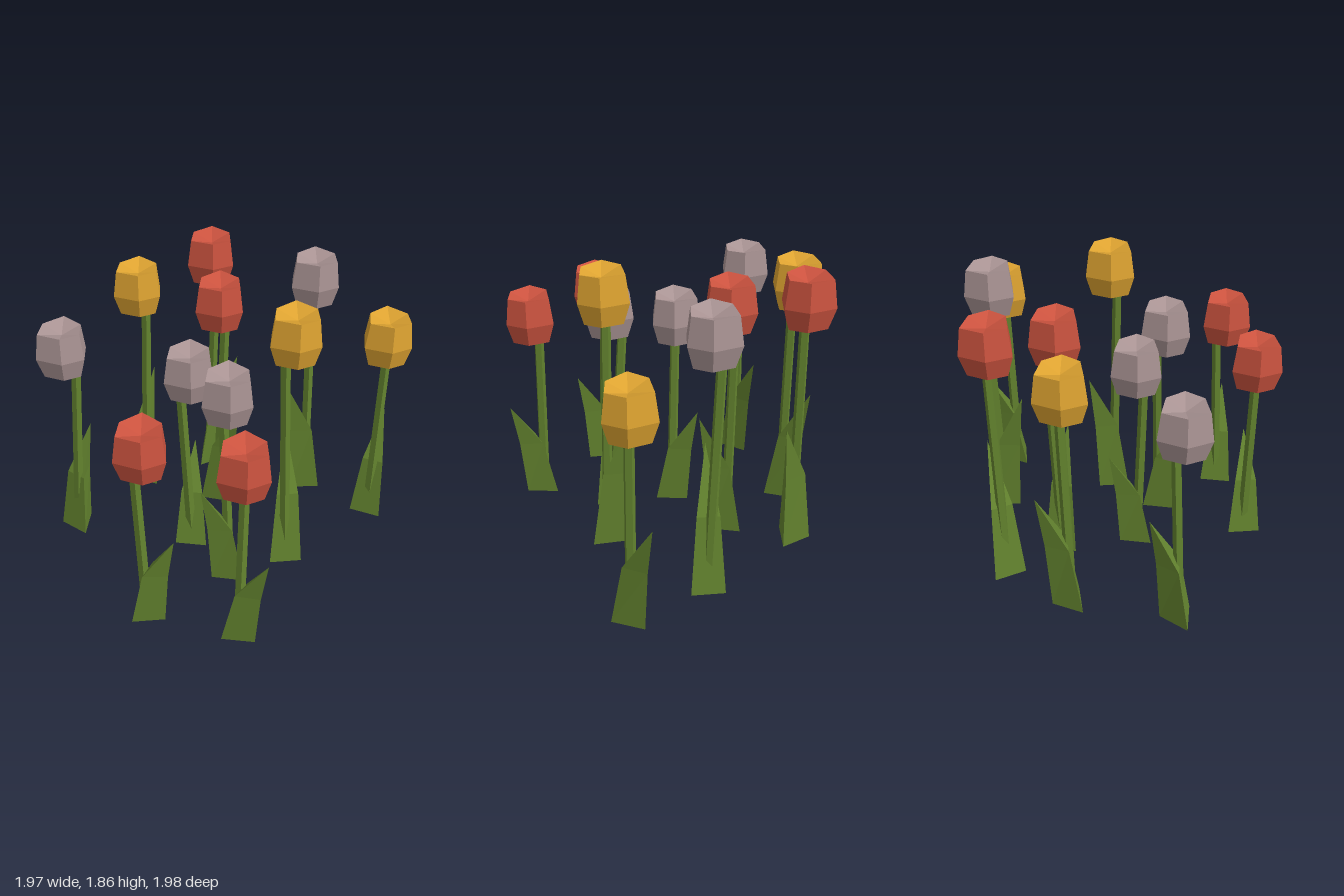
import * as THREE from 'three';

const mat = (name, color) => {
  const m = new THREE.MeshStandardMaterial({ color, flatShading: true });
  m.name = name;
  return m;
};

// Skin a stack of equal-length rings (counter-clockwise from above, bottom to top)
function loft(rings) {
  const pos = [];
  for (let i = 0; i < rings.length - 1; i++) {
    const lo = rings[i], hi = rings[i + 1], n = lo.length;
    for (let j = 0; j < n; j++) {
      const k = (j + 1) % n;
      for (const t of [[lo[j], lo[k], hi[k]], [lo[j], hi[k], hi[j]]]) {
        const same = (a, b) => a.every((v, q) => v === b[q]);
        if (same(t[0], t[1]) || same(t[1], t[2]) || same(t[0], t[2])) continue;
        pos.push(...t.flat());
      }
    }
  }
  const g = new THREE.BufferGeometry();
  g.setAttribute('position', new THREE.Float32BufferAttribute(pos, 3));
  g.computeVertexNormals();
  return g;
}

// Six-sided bloom outline as [x, z], and its [scale, height below the rim]
const OUTLINE = [[0.16, 0], [0.08, -0.122], [-0.093, -0.153], [-0.158, 0.01], [-0.093, 0.153], [0.08, 0.122]];
const PROFILE = [[0, -0.345], [0.76, -0.305], [1, -0.17], [0.86, 0], [0, -0.045]];
const bloomGeometry = () =>
  loft(PROFILE.map(([s, y]) => OUTLINE.map(([x, z]) => [x * s, y, z * s])));

// Five-sided stem leaning from base to top
function stemGeometry(base, top) {
  const ring = ([x, y, z], r) => Array.from({ length: 5 }, (_, i) => {
    const a = i / 5 * Math.PI * 2 + 0.3;
    return [x + r * Math.cos(a), y, z - r * Math.sin(a)];
  });
  return loft([ring(base, 0), ring(base, 0.034), ring(top, 0.031), ring(top, 0)]);
}

// Three-sided leaf: broad at the ground, knee halfway, leaning to a point along d
function leafGeometry([dx, dz], h) {
  const p = (u, v, y) => [dx * u + dz * v, y, dz * u - dx * v];
  const tri = (keel, back, half, y) => [p(keel, 0, y), p(back, half, y), p(back, -half, y)];
  return loft([
    tri(0, 0, 0, 0),
    tri(0.105, -0.075, 0.105, 0),
    tri(0.135, -0.005, 0.07, h * 0.57),
    tri(0.18, 0.18, 0, h),
  ]);
}

export function createModel() {
  const green = mat('leaf green', 0x64842f);
  const colours = {
    red: mat('tulip red', 0xcc533f),
    yellow: mat('tulip yellow', 0xdfa431),
    mauve: mat('tulip mauve', 0xaa9494),
  };

  // colour, x, z, rim height, leaf direction [x, z], stem top offset [x, z]
  const tulips = [
    ['red', -0.42, -0.73, 1.83, [0.155, -0.08], [0.02, -0.02]],
    ['mauve', 0.3, -0.81, 1.83, [-0.09, 0.17], [-0.04, -0.04]],
    ['yellow', 0.825, -0.81, 1.55, [-0.025, -0.18], [0, 0]],
    ['yellow', -0.715, -0.3, 1.72, [-0.03, -0.18], [0.035, -0.02]],
    ['red', -0.145, -0.375, 1.735, [0.17, 0.04], [0, -0.06]],
    ['yellow', 0.535, -0.075, 1.86, [-0.115, -0.155], [-0.045, 0.045]],
    ['mauve', -0.08, 0.1, 1.5, [-0.075, -0.175], [-0.04, 0.05]],
    ['mauve', 0.295, 0.28, 1.57, [-0.115, 0.15], [-0.07, -0.05]],
    ['mauve', -0.83, 0.37, 1.57, [0.015, -0.18], [0.055, -0.04]],
    ['red', 0.635, 0.69, 1.46, [0.175, 0.02], [-0.03, -0.055]],
    ['red', 0.065, 0.84, 1.46, [0.18, -0.02], [-0.065, 0]],
  ];

  const model = new THREE.Group();
  model.name = 'tulipPatch';
  const bloom = bloomGeometry();
  for (const [colour, x, z, rim, dir, lean] of tulips) {
    const len = Math.hypot(...dir);
    const d = dir.map(v => v / len);
    const tulip = new THREE.Group();
    tulip.name = colour + 'Tulip';
    tulip.position.set(x, 0, z);
    const add = (name, geometry, material) => {
      const m = new THREE.Mesh(geometry, material);
      m.name = name;
      tulip.add(m);
      return m;
    };
    add('bloom', bloom, colours[colour]).position.y = rim;
    add('stem', stemGeometry([-0.02 * d[0], 0, -0.02 * d[1]], [lean[0], rim - 0.27, lean[1]]), green);
    add('leaf', leafGeometry(d, (rim - 0.345) * 0.615), green);
    model.add(tulip);
  }
  return model;
}
